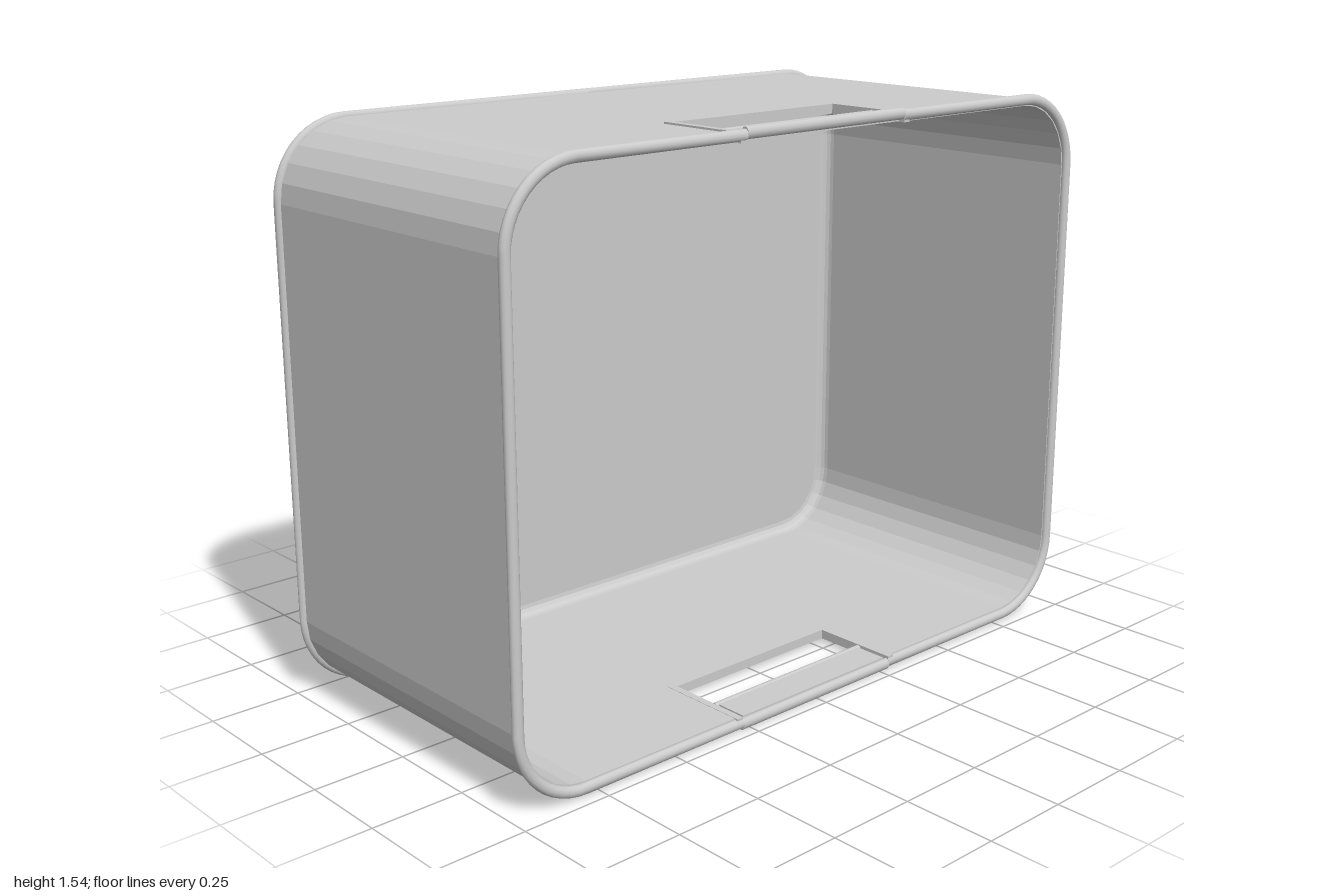
import * as THREE from 'three';

const A = 0.988, B = 0.7555, R = 0.2, CY = 0.7725; // half width, half height, corner radius, centre height
const SLOT = 0.278, SLOT_Z = 0.215;                // slot half width and rear edge

const flat = new THREE.MeshStandardMaterial({ color: 0xcccccc, flatShading: true, side: THREE.DoubleSide });
const smooth = new THREE.MeshStandardMaterial({ color: 0xcccccc, side: THREE.DoubleSide });

// Half of the rounded outline as [x, y, normalX, normalY], from (x0, top) round to (x0, bottom)
function halfPath(x0, steps) {
  const pts = [[x0, B, 0, 1]];
  for (const side of [1, -1]) {
    for (let i = 0; i <= steps; i++) {
      const t = (side > 0 ? 1 - i / steps : -i / steps) * Math.PI / 2;
      const c = Math.cos(t), s = Math.sin(t);
      pts.push([A - R + R * c, side * (B - R) + R * s, c, s]);
    }
  }
  pts.push([x0, -B, 0, -1]);
  return pts;
}

// Sweep a closed profile of [offset, z] points along a path
function sweep(path, profile) {
  const pos = [], idx = [], n = profile.length;
  for (const [x, y, nx, ny] of path)
    for (const [d, z] of profile) pos.push(x + nx * d, y + ny * d, z);
  for (let i = 0; i < path.length - 1; i++) {
    for (let j = 0; j < n; j++) {
      const a = i * n + j, b = i * n + (j + 1) % n;
      idx.push(a, b, b + n, a, b + n, a + n);
    }
  }
  const g = new THREE.BufferGeometry();
  g.setAttribute('position', new THREE.Float32BufferAttribute(pos, 3));
  g.setIndex(idx);
  g.computeVertexNormals();
  return g;
}

// Wall section with a fillet where it meets the back panel
function wallProfile(front) {
  const p = [[0, -0.46], [0, front], [-0.02, front]];
  for (let i = 0; i <= 4; i++) {
    const t = i / 4 * Math.PI / 2;
    p.push([-0.05 + 0.03 * Math.cos(t), -0.417 - 0.03 * Math.sin(t)]);
  }
  p.push([-0.05, -0.46]);
  return p;
}

// Rounded section of the rim bead
function beadProfile(z) {
  return Array.from({ length: 12 }, (_, i) => {
    const t = i / 12 * Math.PI * 2;
    return [-0.003 + 0.015 * Math.cos(t), z + 0.0125 * Math.sin(t)];
  });
}

function add(parent, name, geometry, material = flat) {
  const m = new THREE.Mesh(geometry, material);
  m.name = name;
  parent.add(m);
  return m;
}

function box(parent, name, w, h, d, x, y, z) {
  add(parent, name, new THREE.BoxGeometry(w, h, d)).position.set(x, y, z);
}

// Slot frame with the pull tab at the front
function slot() {
  const g = new THREE.Group();
  for (const s of [-1, 1])
    box(g, 'slotCheek', 0.02, 0.026, 0.27, s * (SLOT + 0.01), B - 0.008, 0.335);
  box(g, 'slotRearEdge', 2 * SLOT, 0.026, 0.018, 0, B - 0.008, SLOT_Z - 0.005);
  box(g, 'tabPlate', 0.536, 0.016, 0.1, 0, B - 0.01, 0.41);
  const rear = add(g, 'tabRearLip', new THREE.CylinderGeometry(0.011, 0.011, 0.55, 12), smooth);
  rear.rotation.z = Math.PI / 2;
  rear.position.set(0, B - 0.01, 0.361);
  const front = add(g, 'tabFrontLip', new THREE.CylinderGeometry(0.0155, 0.0155, 2 * SLOT, 12), smooth);
  front.rotation.z = Math.PI / 2;
  front.scale.z = 0.8;
  front.position.set(0, B + 0.0015, 0.4625);
  return g;
}

export function createModel() {
  const model = new THREE.Group();
  model.name = 'openBox';
  const body = new THREE.Group();
  body.name = 'body';
  body.position.y = CY;
  model.add(body);

  // Two identical halves, turned half a revolution from each other
  for (const turn of [0, Math.PI]) {
    const half = new THREE.Group();
    half.name = turn ? 'rightAndBottom' : 'leftAndTop';
    half.rotation.z = turn;
    body.add(half);
    add(half, 'sideWall', sweep(halfPath(SLOT, 6), wallProfile(0.46)));
    add(half, 'slottedWall', sweep([[-SLOT, B, 0, 1], [SLOT, B, 0, 1]], wallProfile(SLOT_Z)));
    add(half, 'backRim', sweep(halfPath(0, 12), beadProfile(-0.4625)), smooth);
    add(half, 'frontRim', sweep(halfPath(SLOT, 12), beadProfile(0.4625)), smooth);
    const s = slot();
    s.name = 'slotAndTab';
    half.add(s);
  }

  // Back panel
  const outline = halfPath(0, 12).map(([x, y, nx, ny]) => new THREE.Vector2(x - nx * 0.003, y - ny * 0.003));
  const whole = outline.concat(outline.map(p => p.clone().negate()));
  const panel = new THREE.ExtrudeGeometry(new THREE.Shape(whole), { depth: 0.028, bevelEnabled: false });
  panel.translate(0, 0, -0.475);
  add(body, 'backPanel', panel);
  return model;
}
